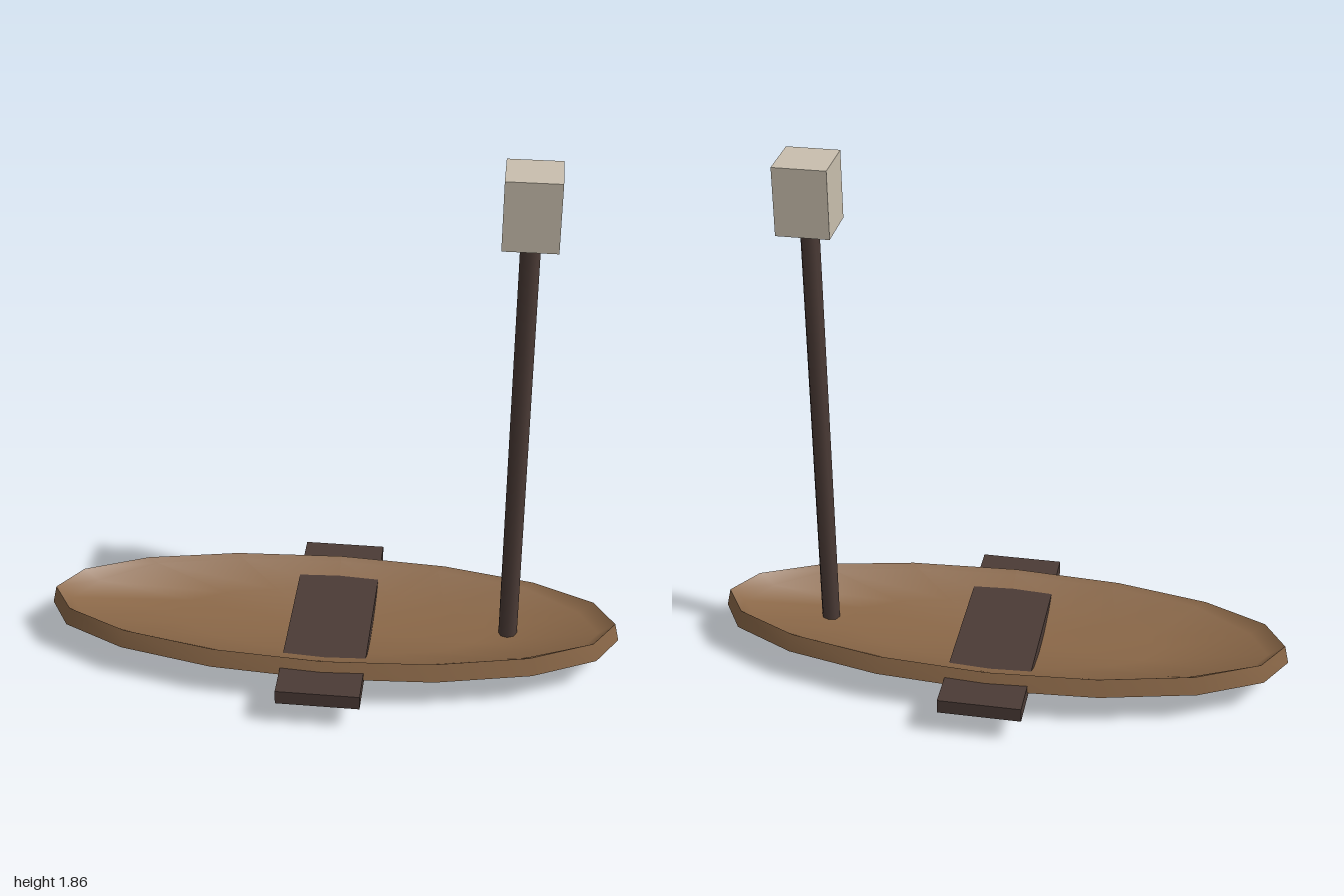
import * as THREE from 'three';
import { mergeVertices, toCreasedNormals } from 'three/addons/utils/BufferGeometryUtils.js';

const hullBrown = new THREE.MeshStandardMaterial({ color: 0x8b6848 });
hullBrown.name = 'hullBrown';
const darkWood = new THREE.MeshStandardMaterial({ color: 0x4b3b36 });
darkWood.name = 'darkWood';
const cream = new THREE.MeshStandardMaterial({ color: 0xc9bfae });
cream.name = 'cream';

// Hull rings from keel to rim, then down the inside: [half length, half width, height]
const RINGS = [
  [0, 0, 0.005], [0.55, 0.19, 0.037], [1, 0.33, 0.122], [0.985, 0.31, 0.182],
  [0.93, 0.295, 0.17], [0.55, 0.18, 0.118], [0, 0, 0.08],
];

function hullGeometry() {
  const lathe = new THREE.LatheGeometry(RINGS.map(() => new THREE.Vector2(1, 0)), 16);
  const pos = lathe.attributes.position;
  for (let i = 0; i < pos.count; i++) {
    const ring = i % RINGS.length;
    const a = (Math.floor(i / RINGS.length) % 16) * Math.PI / 8;
    const [rx, rz, h] = RINGS[ring];
    const s = Math.sin(a);
    let y = h;
    if (ring === 3) y += 0.007 * s * s;              // rim rises towards the tips
    if (ring === 4 && Math.abs(s) > 0.9) y -= 0.025; // steeper inner wall at the tips
    pos.setXYZ(i, rx * s, y, rz * Math.cos(a));
  }
  lathe.deleteAttribute('uv');
  lathe.deleteAttribute('normal');
  return toCreasedNormals(mergeVertices(lathe), 1.05);
}

function add(group, name, geometry, material, x, y, z) {
  const mesh = new THREE.Mesh(geometry, material);
  mesh.name = name;
  mesh.position.set(x, y, z);
  group.add(mesh);
}

export function createModel() {
  const boat = new THREE.Group();
  boat.name = 'boat';

  add(boat, 'hull', hullGeometry(), hullBrown, 0, 0, 0);

  // One plank runs through both sides of the hull
  add(boat, 'bench', new THREE.BoxGeometry(0.284, 0.05, 0.88), darkWood, 0, 0.12, 0);

  // Pole with a block on top
  add(boat, 'pole', new THREE.CylinderGeometry(0.032, 0.032, 1.53, 8), darkWood, 0.617, 0.87, 0);
  add(boat, 'topBlock', new THREE.BoxGeometry(0.176, 0.23, 0.176), cream, 0.617, 1.745, 0);

  return boat;
}
